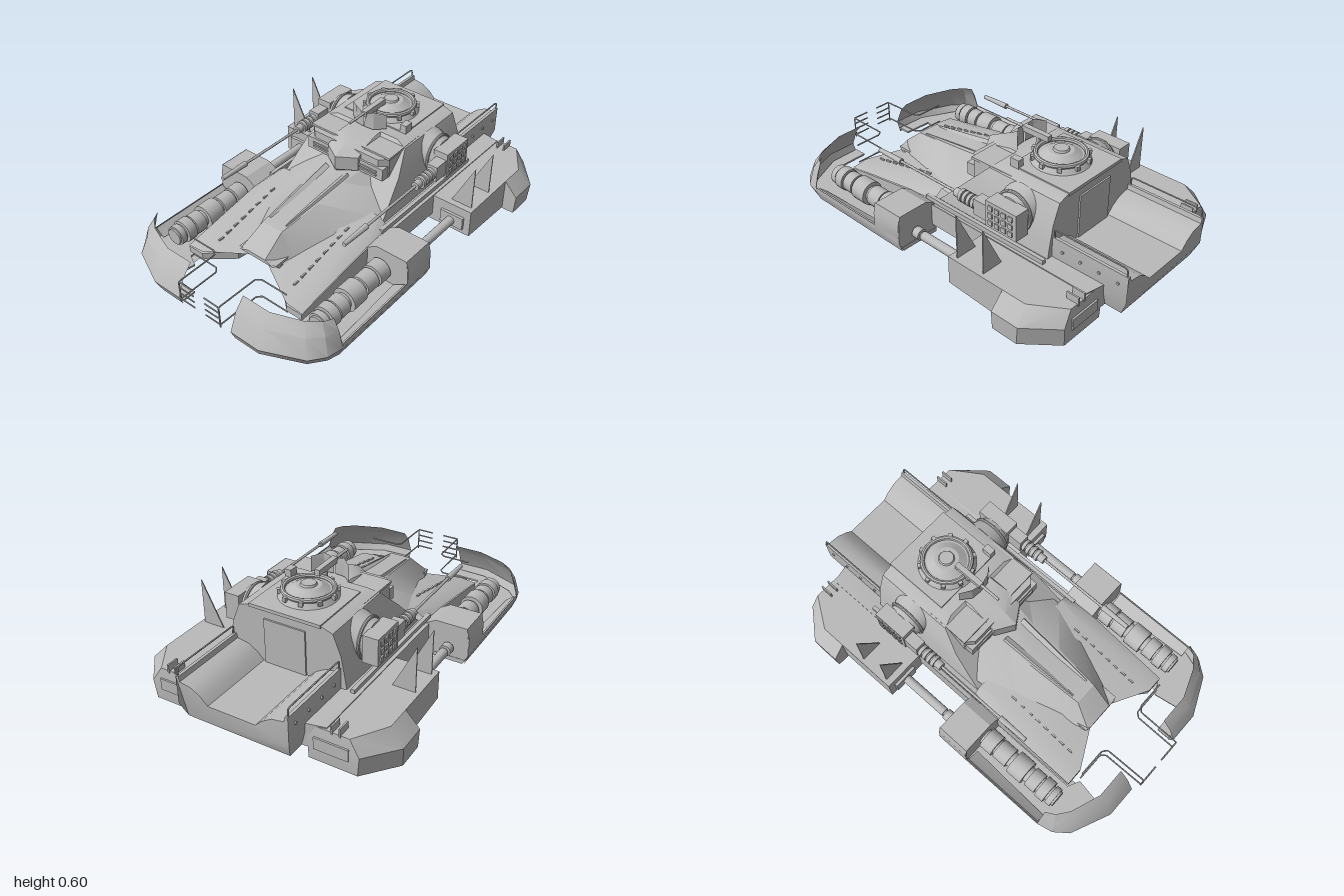
import * as THREE from 'three';
import { toCreasedNormals } from 'three/addons/utils/BufferGeometryUtils.js';

const grey = new THREE.MeshStandardMaterial({ color: 0xbababa, side: THREE.DoubleSide });
grey.name = 'plain grey';

// Surface through rings of equal point count; rings may be open or closed and capped.
function loft(rings, closed = true, caps = true) {
  const n = rings[0].length, pos = rings.flat(2), idx = [];
  for (let r = 0; r < rings.length - 1; r++) {
    for (let i = 0; i < (closed ? n : n - 1); i++) {
      const a = r * n + i, b = r * n + (i + 1) % n;
      idx.push(a, b, b + n, a, b + n, a + n);
    }
  }
  if (caps) {
    const last = (rings.length - 1) * n;
    for (let i = 1; i < n - 1; i++) idx.push(0, i + 1, i, last, last + i, last + i + 1);
  }
  const g = new THREE.BufferGeometry();
  g.setAttribute('position', new THREE.Float32BufferAttribute(pos, 3));
  g.setIndex(idx);
  return g;
}
const flipX = (pts) => pts.map(([x, y]) => [-x, y]).reverse();

// Slab with a plan outline in x, z between two heights.
function slab(plan, y0, y1) {
  const s = new THREE.Shape(plan.map(([x, z]) => new THREE.Vector2(x, -z)));
  return new THREE.ExtrudeGeometry(s, { depth: y1 - y0, bevelEnabled: false }).rotateX(-Math.PI / 2).translate(0, y0, 0);
}
// Section in x, y swept along z.
function sweep(section, z0, z1) {
  const s = new THREE.Shape(section.map(([x, y]) => new THREE.Vector2(x, y)));
  return new THREE.ExtrudeGeometry(s, { depth: z1 - z0, bevelEnabled: false }).translate(0, 0, z0);
}
const box = (x0, x1, y0, y1, z0, z1) =>
  new THREE.BoxGeometry(x1 - x0, y1 - y0, z1 - z0).translate((x0 + x1) / 2, (y0 + y1) / 2, (z0 + z1) / 2);
const cylZ = (x, y, z0, z1, r, r2 = r) =>
  new THREE.CylinderGeometry(r2, r, z1 - z0, 16).rotateX(Math.PI / 2).translate(x, y, (z0 + z1) / 2);
const cylX = (x0, x1, y, z, r, r2 = r) =>
  new THREE.CylinderGeometry(r2, r, x1 - x0, 28).rotateZ(-Math.PI / 2).translate((x0 + x1) / 2, y, z);
const cylY = (x, z, y0, y1, r, r2 = r) =>
  new THREE.CylinderGeometry(r2, r, y1 - y0, 28).translate(x, (y0 + y1) / 2, z);
function rod(pts, r = 0.004) {
  const path = new THREE.CurvePath(), v = pts.map((p) => new THREE.Vector3(...p));
  for (let i = 1; i < v.length; i++) path.add(new THREE.LineCurve3(v[i - 1], v[i]));
  return new THREE.TubeGeometry(path, (v.length - 1) * 8, r, 6);
}
// Moves every vertex by a rule acting on a Vector3.
function bend(geo, rule) {
  const p = geo.attributes.position, v = new THREE.Vector3();
  for (let i = 0; i < p.count; i++) {
    rule(v.fromBufferAttribute(p, i));
    p.setXYZ(i, v.x, v.y, v.z);
  }
  return geo;
}

export function createModel() {
  const model = new THREE.Group();
  model.name = 'hoverTank';
  const add = (name, geo) => {
    const m = new THREE.Mesh(toCreasedNormals(geo, 0.5), grey);
    m.name = name;
    model.add(m);
  };
  // Adds a part on the +x side and its mirror image.
  const pair = (name, geo) => {
    add(name + 'Left', geo);
    const g = geo.index ? geo.toNonIndexed() : geo.clone();
    g.scale(-1, 1, 1);
    const p = g.attributes.position, a = new THREE.Vector3(), b = new THREE.Vector3();
    for (let i = 0; i < p.count; i += 3) {
      a.fromBufferAttribute(p, i + 1); b.fromBufferAttribute(p, i + 2);
      p.setXYZ(i + 1, b.x, b.y, b.z); p.setXYZ(i + 2, a.x, a.y, a.z);
    }
    add(name + 'Right', g);
  };

  // Lower hull, with forked front decks sloping down
  const half = [[0.12, 0.47], [0.14, 0.62], [0.27, 0.73], [0.36, 0.73], [0.365, 0.27], [0.385, 0.2], [0.385, -0.86], [0.29, -0.88]];
  add('lowerHull', bend(slab([...half, ...flipX(half)], 0.085, 0.205), (v) => {
    if (v.y > 0.15) v.y -= Math.max(0, v.z - 0.2) * 0.16;
  }));
  pair('deckWing', loft([
    [[0.06, 0.25, 0.1], [0.31, 0.25, 0.1], [0.36, 0.21, 0.1]],
    [[0.06, 0.24, 0.28], [0.28, 0.235, 0.28], [0.365, 0.2, 0.28]],
    [[0.06, 0.16, 0.62], [0.27, 0.135, 0.73], [0.36, 0.125, 0.73]]], false, false));
  for (let i = 0; i < 8; i++) pair('deckHinge', box(0.235, 0.243, 0.16, 0.245 - i * 0.011, 0.25 + i * 0.052, 0.28 + i * 0.052));

  // Nose, tapering to the front, with an undercut grille below
  const noseRing = ([z, xt, yt, xb, yb]) => [[xb, yb, z], [xt, yt, z], [-xt, yt, z], [-xb, yb, z]];
  add('nose', loft([[-0.15, 0.12, 0.38, 0.31, 0.24], [0.1, 0.085, 0.345, 0.29, 0.235], [0.28, 0.077, 0.322, 0.235, 0.215],
    [0.52, 0.06, 0.295, 0.14, 0.17], [0.635, 0.055, 0.2, 0.105, 0.18]].map(noseRing)));
  pair('noseRidge', loft([[[0.025, 0.34, 0.05], [0.07, 0.365, 0.05], [0.085, 0.34, 0.05]],
    [[0.04, 0.295, 0.48], [0.052, 0.305, 0.48], [0.06, 0.29, 0.48]]]));
  add('noseGrille', loft([[[-0.12, 0.07, 0.45], [-0.12, 0.07, 0.52], [-0.115, 0.19, 0.63], [-0.115, 0.19, 0.45]],
    [[0.12, 0.07, 0.45], [0.12, 0.07, 0.52], [0.115, 0.19, 0.63], [0.115, 0.19, 0.45]]]));

  // Cabin
  const cabHalf = [[0.32, 0.2], [0.31, 0.26], [0.29, 0.37], [0.25, 0.47], [0.19, 0.49]];
  const cabRing = (lean, z) => [...cabHalf, ...flipX(cabHalf)].map(([x, y]) => [x, y, z - (y - 0.2) * lean]);
  add('cabin', loft([cabRing(0, -0.59), cabRing(0, -0.3), cabRing(1, 0.1)]));
  add('cabinBrow', slab([[0.24, -0.22], [0.24, -0.06], [0.2, -0.02], [-0.2, -0.02], [-0.24, -0.06], [-0.24, -0.22]], 0.355, 0.465));
  add('browRoof', slab([[0.24, -0.3], [0.245, -0.05], [-0.245, -0.05], [-0.24, -0.3]], 0.463, 0.475));
  pair('frontVent', box(0.05, 0.235, 0.358, 0.425, -0.06, -0.01));
  for (const y of [0.375, 0.395]) pair('ventSlat', box(0.08, 0.2, y, y + 0.01, -0.01, -0.004));
  const visor = (w, y, f) => [[w, y, -0.2], [w, y, f - 0.06], [0, y, f], [-w, y, f - 0.06], [-w, y, -0.2]];
  add('visorBlock', loft([visor(0.075, 0.345, 0.045), visor(0.095, 0.365, 0.062), visor(0.095, 0.44, 0.062),
    visor(0.093, 0.478, -0.01), visor(0.085, 0.49, -0.09)]));
  add('roofPlate', box(-0.19, 0.19, 0.48, 0.497, -0.595, -0.25));
  add('periscope', box(0.16, 0.195, 0.49, 0.535, -0.3, -0.25));
  add('rearDoor', box(-0.11, 0.11, 0.2, 0.44, -0.598, -0.585));

  // Hatch ring and gun on the roof
  add('hatchBase', cylY(0, -0.39, 0.49, 0.525, 0.15, 0.125));
  add('hatchRing', new THREE.TorusGeometry(0.12, 0.012, 8, 32).rotateX(Math.PI / 2).translate(0, 0.53, -0.39));
  add('hatchDome', cylY(0, -0.39, 0.525, 0.55, 0.1, 0.06));
  add('hatchCap', cylY(0, -0.39, 0.55, 0.56, 0.04, 0.035));
  for (let i = 0; i < 10; i++) {
    const a = i * Math.PI / 5;
    add('ringBlock', new THREE.BoxGeometry(0.03, 0.022, 0.02).translate(0.13, 0.522, 0).rotateY(a).translate(0, 0, -0.39));
  }
  pair('gunShield', loft([[0.5, 0.5, 0.505, 0], [0.56, 0.56, 0.56, 0], [0.59, 0.6, 0.585, 0.022]].map(([a, b, c, gap]) =>
    [[0.004 + gap, a, -0.165], [0.055, b, -0.17], [0.105, c, -0.21]]), false, false));
  add('gunBody', box(-0.014, 0.014, 0.56, 0.59, -0.32, -0.16));
  add('gunBarrel', cylZ(0, 0.578, -0.16, -0.05, 0.007));
  add('gunPost', cylY(0, -0.25, 0.52, 0.57, 0.012));

  // Cargo bed with a cut-back lower rear edge, and its rails
  const bed = [[0.29, 0.12], [0.29, 0.31], [0.275, 0.31], [0.27, 0.285], [0.21, 0.275], [0.16, 0.245], [0.125, 0.21]];
  add('cargoBed', bend(sweep([[-0.29, 0.165], [-0.27, 0.085], [0.27, 0.085], [0.29, 0.165], ...bed.slice(1), ...flipX(bed.slice(1))], -1, -0.59),
    (v) => { if (v.z < -0.9 && v.y < 0.1) v.z = -0.967; }));
  pair('bedRail', rod([[0.285, 0.3, -0.6], [0.285, 0.35, -0.6], [0.285, 0.35, -0.98], [0.285, 0.342, -0.99], [0.285, 0.3, -0.99]]));
  for (const z of [-0.65, -0.75, -0.85, -0.95]) pair('bedBolt', cylX(0.285, 0.297, 0.255, z, 0.007));

  // Round side drums and gun pods
  pair('sideDrum', cylX(0.25, 0.34, 0.36, -0.38, 0.118, 0.085));
  pair('drumRim', new THREE.TorusGeometry(0.098, 0.008, 8, 28).rotateY(Math.PI / 2).translate(0.31, 0.36, -0.38));
  pair('gunPod', box(0.335, 0.415, 0.295, 0.435, -0.485, -0.3));
  for (let r = 0; r < 3; r++) for (let c = 0; c < 4; c++)
    pair('podPort', box(0.415, 0.421, 0.312 + r * 0.04, 0.337 + r * 0.04, -0.465 + c * 0.04, -0.44 + c * 0.04));
  pair('gunBreech', box(0.35, 0.41, 0.315, 0.4, -0.3, -0.22));
  for (let i = 0; i < 4; i++) pair('gunRib', cylZ(0.38, 0.358, -0.215 + i * 0.027, -0.197 + i * 0.027, 0.032));
  pair('gunCore', cylZ(0.38, 0.358, -0.24, -0.08, 0.022));
  pair('longBarrel', cylZ(0.38, 0.358, -0.1, 0.32, 0.007));
  pair('muzzle', cylZ(0.38, 0.358, 0.3, 0.46, 0.015, 0.011));
  pair('sideRail', box(0.345, 0.365, 0.2, 0.225, -0.6, 0.15));

  // Front pontoon skin, leaning in at the top of the bow
  // x, z of the widest line, top height, x and z of the top edge
  const skin = [[0.165, 0.978, 0.237, 0.165, 0.885], [0.33, 0.978, 0.237, 0.32, 0.885], [0.53, 0.89, 0.237, 0.47, 0.83],
    [0.585, 0.82, 0.237, 0.53, 0.785], [0.603, 0.74, 0.237, 0.555, 0.74], [0.603, 0.739, 0.11, 0.6, 0.739],
    [0.605, 0.271, 0.11, 0.6, 0.271], [0.605, 0.27, 0.237, 0.59, 0.27], [0.605, 0.09, 0.237, 0.59, 0.09]];
  const mix = (a, b, t) => a + (b - a) * t;
  pair('pontoonSkin', loft([
    skin.map(([, , t, tx, tz]) => [tx, t, tz]),
    skin.map(([x, z, t, tx, tz]) => [mix(x, tx, 0.45), Math.min(t, 0.18), mix(z, tz, 0.45)]),
    skin.map(([x, z]) => [x, 0.085, z]),
    skin.map(([x, z]) => [x > 0.2 ? x - 0.022 : x, 0.03, z > 0.75 ? z - 0.022 : z])], false, false));
  pair('pontoonFloor', slab([[0.585, 0.09], [0.585, 0.74], [0.565, 0.8], [0.515, 0.86], [0.33, 0.95], [0.165, 0.955],
    [0.165, 0.885], [0.32, 0.88], [0.3, 0.76], [0.36, 0.73], [0.36, 0.09]], 0.045, 0.055));
  pair('pontoonRear', sweep([[0.36, 0.03], [0.575, 0.03], [0.603, 0.085], [0.603, 0.18], [0.59, 0.235], [0.42, 0.235], [0.36, 0.2]], 0.092, 0.268));
  const keel = (x0, x1, z0, z1, y) => [[x0, y, z0], [x1, y, z0], [x1, y, z1], [x0, y, z1]];
  pair('pontoonKeel', loft([keel(0.36, 0.52, 0.34, 0.72, 0.003), keel(0.32, 0.57, 0.24, 0.79, 0.046)]));
  pair('pontoonSidePlate', loft([[[0.595, 0.11, 0.28], [0.53, 0.07, 0.28]], [[0.595, 0.11, 0.735], [0.55, 0.07, 0.735]]], false, false));

  // Engines lying in the pontoons
  for (const [z0, z1, r] of [[0.26, 0.74, 0.042], [0.28, 0.35, 0.058], [0.36, 0.44, 0.054], [0.46, 0.55, 0.064],
    [0.57, 0.63, 0.055], [0.64, 0.69, 0.06], [0.7, 0.73, 0.052]]) pair('engine', cylZ(0.455, 0.13, z0, z1, r));

  // Struts joining front and rear pods
  for (const [z0, z1, r] of [[-0.26, 0.1, 0.016], [-0.24, 0.03, 0.024], [0.04, 0.08, 0.03]]) pair('strut', cylZ(0.5, 0.11, z0, z1, r));

  // Rear pods with flared ends and upright fins
  const podSide = (x) => [[x, 0.05, -0.25], [x, 0.2, -0.25], [x, 0.2, -0.59], [x, 0.03, -0.59]];
  pair('rearPod', loft([podSide(0.37), podSide(0.605)]));
  pair('podIntake', box(0.44, 0.57, 0.08, 0.15, -0.252, -0.235));
  const flare = (y, x, z, d) => [[0.3, y, -0.58], [x, y, -0.58], [x, y, -0.73 + d], [z, y, -0.88 + d / 2], [0.3, y, -0.88 + d / 2]];
  pair('rearFlare', loft([flare(0.025, 0.67, 0.54, 0.01), flare(0.125, 0.676, 0.55, 0), flare(0.2, 0.605, 0.5, 0.02)]));
  pair('tailLampBar', box(0.33, 0.5, 0.09, 0.15, -0.885, -0.86));
  for (const x of [0.41, 0.45]) pair('tailProng', box(x, x + 0.008, 0.19, 0.235, -0.875, -0.81));
  for (const z of [-0.29, -0.45]) pair('fin', sweep([[0.465, 0.19], [0.585, 0.19], [0.585, 0.435]], z, z + 0.006));

  // Front guard rails
  for (const y of [0.225, 0.19, 0.155, 0.12])
    pair('guardBar', rod([[0.125, y, 0.996], [0.035, y, 0.996]]));
  pair('guardFrame', rod([[0.3, 0.225, 0.755], [0.15, 0.225, 0.755], [0.128, 0.225, 0.775], [0.125, 0.225, 0.996], [0.125, 0.105, 0.996]]));
  pair('guardLower', rod([[0.3, 0.12, 0.755], [0.15, 0.12, 0.755], [0.128, 0.12, 0.775], [0.125, 0.12, 0.996]]));
  return model;
}
